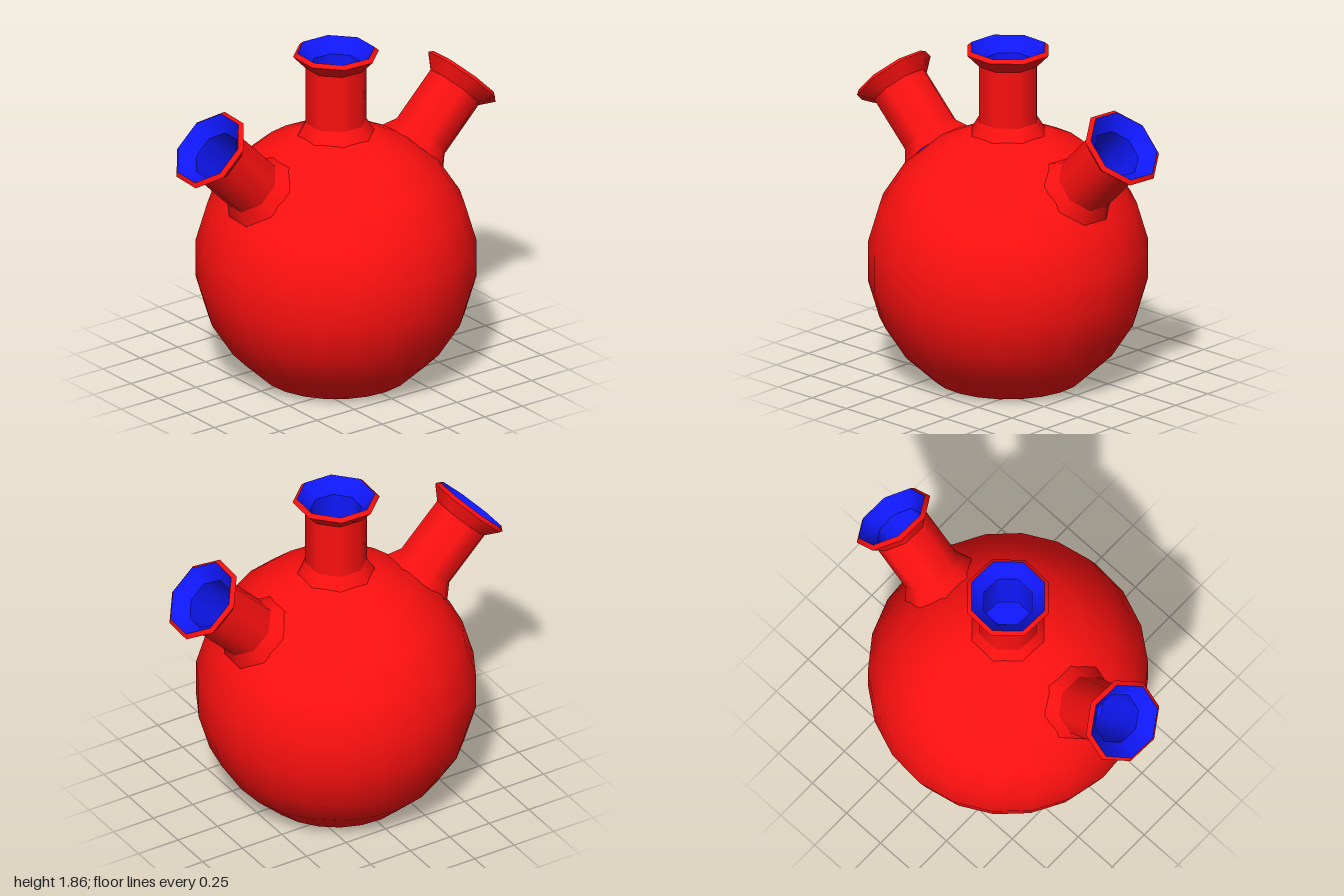
import * as THREE from 'three';

const red = new THREE.MeshStandardMaterial({ color: 0xff1010 });
const blue = new THREE.MeshStandardMaterial({ color: 0x1018ff });
const R = 0.76;         // body radius
const CENTRE = 0.65;    // height of the body centre
const RINGS = 11;

function lathe(name, points, sides, start, material) {
  const profile = points.map(([r, y]) => new THREE.Vector2(r, y));
  const mesh = new THREE.Mesh(new THREE.LatheGeometry(profile, sides, start), material);
  mesh.name = name;
  return mesh;
}

// One flared neck; heights are measured from the body centre along its axis
function createNeck(name, tilt) {
  const neck = new THREE.Group();
  neck.name = name;
  const part = (label, points, material) =>
    neck.add(lathe(label, points, 8, THREE.MathUtils.degToRad(20), material));

  part('collar', [[0.213, 0.725], [0.167, 0.8]], red);
  part('stem', [[0.167, 0.8], [0.167, 1.12]], red);
  part('flare', [[0.167, 1.12], [0.235, 1.19]], red);
  part('rim', [[0.235, 1.19], [0.212, 1.21]], red);
  part('funnel', [[0.212, 1.21], [0.14, 1.13]], blue);
  part('bore', [[0.14, 1.13], [0.14, 0.77]], blue);
  part('boreFloor', [[0.14, 0.77], [0, 0.77]], blue);

  neck.position.y = CENTRE;
  neck.rotation.z = tilt;
  return neck;
}

export function createModel() {
  const flask = new THREE.Group();
  flask.name = 'threeNeckedFlask';

  // Round body, cut off flat at the ground
  const profile = [];
  for (let i = RINGS - 2; i >= 0; i--) {
    const t = (i * Math.PI) / RINGS;
    const y = i === RINGS - 2 ? 0 : CENTRE + R * Math.cos(t);
    profile.push([R * Math.sin(t), y]);
  }
  const start = (3 * Math.PI) / 4;
  flask.add(lathe('body', profile, 2 * RINGS, start, red));
  flask.add(lathe('base', [[0, 0], profile[0]], 2 * RINGS, start, red));

  // Upright neck and two leaning ones
  flask.add(createNeck('middleNeck', 0));
  flask.add(createNeck('leftNeck', -Math.PI / 4));
  flask.add(createNeck('rightNeck', Math.PI / 4));
  return flask;
}
